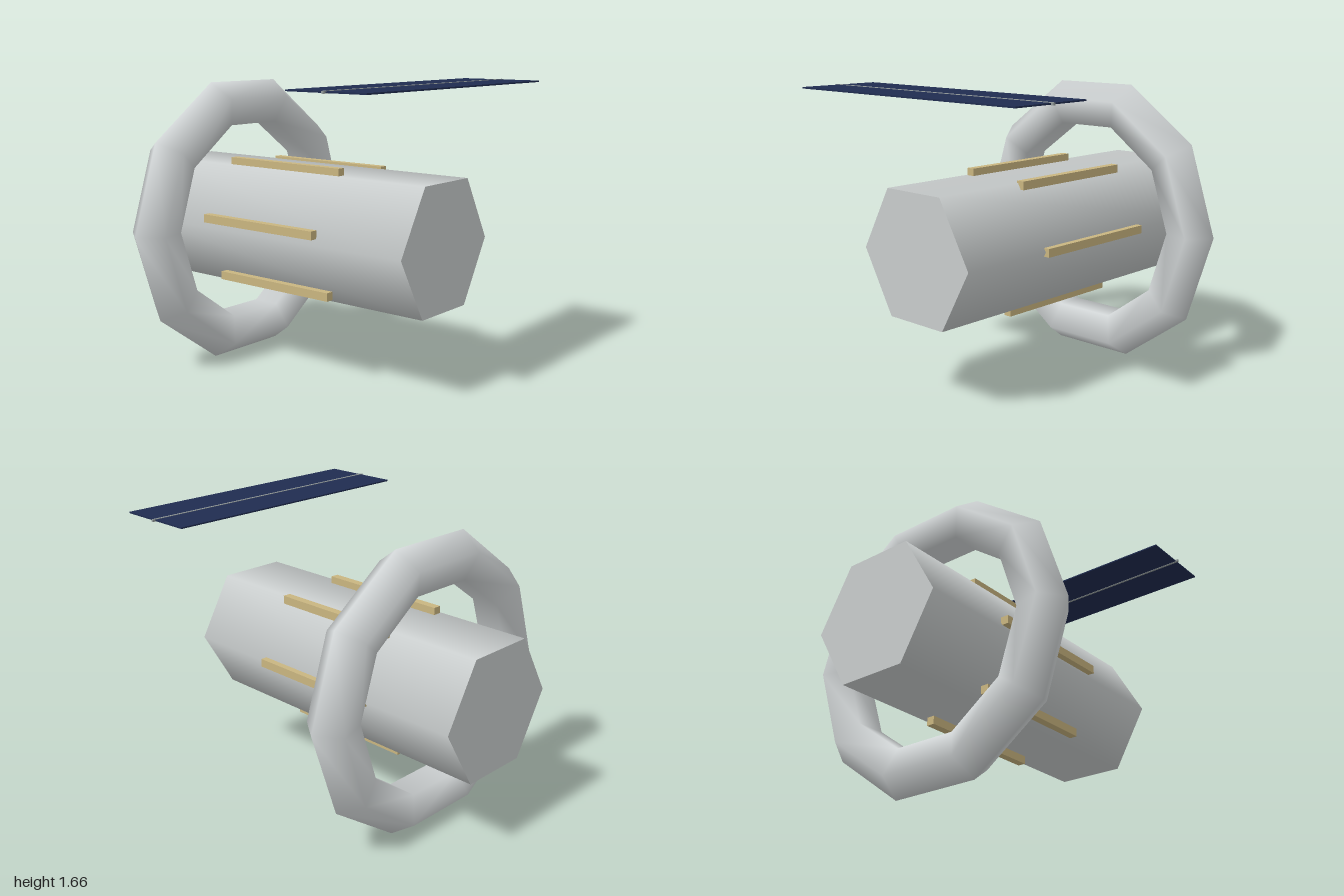
import * as THREE from 'three';

const AXIS_Y = 0.822; // height of the station's long axis

const paint = (name, color) => {
  const m = new THREE.MeshStandardMaterial({ color });
  m.name = name;
  return m;
};

export function createModel() {
  const hullGrey = paint('hull grey', 0xc8cccc);
  const ringGrey = paint('ring grey', 0xd0d4d5);
  const gold = paint('gold', 0xc9b580);
  const navy = paint('panel navy', 0x202c50);
  const sparGrey = paint('spar grey', 0x929a9a);

  const model = new THREE.Group();
  model.name = 'spaceStation';
  const add = (name, geometry, material, x, y, z) => {
    const mesh = new THREE.Mesh(geometry, material);
    mesh.name = name;
    mesh.position.set(x, y, z);
    model.add(mesh);
    return mesh;
  };

  // Six-sided hull lying along z, with corners pointing left and right
  const hull = new THREE.CylinderGeometry(0.4, 0.4, 1.92, 6, 1, false, Math.PI / 6);
  hull.rotateX(Math.PI / 2);
  add('hull', hull, hullGrey, 0, AXIS_Y, -0.04);

  // Ten-sided ring with a five-sided tube, around the rear of the hull
  add('ring', new THREE.TorusGeometry(0.719, 0.144, 5, 10), ringGrey, 0, AXIS_Y, -0.52);

  // Rails spaced one radian apart around the hull
  const rail = new THREE.BoxGeometry(0.047, 0.047, 0.8);
  for (let i = 0; i < 6; i++) {
    add(`rail${i + 1}`, rail, gold, 0.4 * Math.cos(i), AXIS_Y + 0.4 * Math.sin(i), -0.04);
  }

  // Flat solar panel floating above the front, with a thin spar along its middle
  add('solarPanel', new THREE.BoxGeometry(1.6, 0.008, 0.48), navy, 0, 1.656, 0.76);
  add('panelSpar', new THREE.BoxGeometry(1.63, 0.013, 0.013), sparGrey, 0, 1.656, 0.76);

  return model;
}
